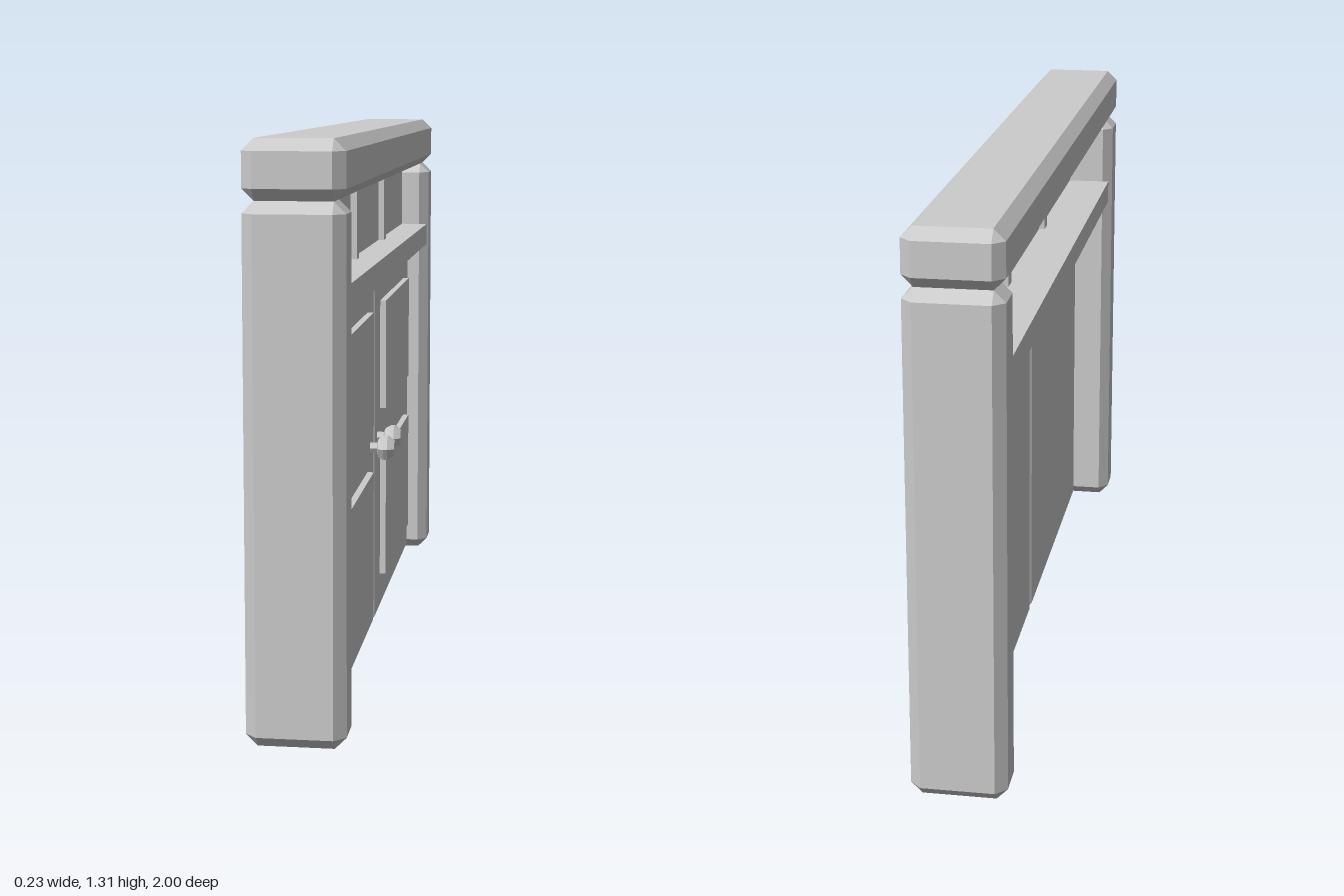
import * as THREE from 'three';
import { ConvexGeometry } from 'three/addons/geometries/ConvexGeometry.js';

export function createModel() {
  const root = new THREE.Group();
  root.name = 'cabinet';
  const grey = new THREE.MeshStandardMaterial({ color: 0xcccccc });
  grey.name = 'plain grey';

  function add(name, geometry, parent = root) {
    const mesh = new THREE.Mesh(geometry, grey);
    mesh.name = name;
    parent.add(mesh);
    return mesh;
  }

  // Plain box given by its limits on each axis
  function block(name, [x0, x1], [y0, y1], [z0, z1], parent) {
    const mesh = add(name, new THREE.BoxGeometry(x1 - x0, y1 - y0, z1 - z0), parent);
    mesh.position.set((x0 + x1) / 2, (y0 + y1) / 2, (z0 + z1) / 2);
    return mesh;
  }

  // Box with every edge cut at 45 degrees: three points at each corner
  function chamfered(name, [x0, x1], [y0, y1], [z0, z1], c, parent) {
    const half = new THREE.Vector3(x1 - x0, y1 - y0, z1 - z0).multiplyScalar(0.5);
    const points = [];
    for (const sx of [-1, 1]) for (const sy of [-1, 1]) for (const sz of [-1, 1]) {
      const { x, y, z } = half;
      points.push(
        new THREE.Vector3(sx * x, sy * (y - c), sz * (z - c)),
        new THREE.Vector3(sx * (x - c), sy * y, sz * (z - c)),
        new THREE.Vector3(sx * (x - c), sy * (y - c), sz * z));
    }
    const mesh = add(name, new ConvexGeometry(points), parent);
    mesh.position.set((x0 + x1) / 2, (y0 + y1) / 2, (z0 + z1) / 2);
    return mesh;
  }

  // Limits mirrored to either side of z = 0
  const side = (s, a, b) => (s > 0 ? [a, b] : [-b, -a]);
  const depth = [-0.113, 0.108];

  // Frame
  chamfered('topBeam', depth, [1.18, 1.31], [-1, 1], 0.026);
  block('shelfRail', [-0.105, 0.105], [0.94, 1.0], [-0.868, 0.868]);
  block('upperPanel', [0.01, 0.03], [1.0, 1.182], [-0.875, 0.875]);

  // Six-sided knob profile, from stem to tip
  const knobProfile = [
    [0.014, 0], [0.014, 0.018], [0.026, 0.022], [0.034, 0.036],
    [0.034, 0.046], [0.02, 0.063], [0, 0.063],
  ].map(([r, h]) => new THREE.Vector2(r, h));
  const knobGeometry = new THREE.LatheGeometry(knobProfile, 6).toNonIndexed();
  knobGeometry.computeVertexNormals();

  for (const s of [1, -1]) {
    const tag = s > 0 ? 'Left' : 'Right';
    chamfered('post' + tag, depth, [0, 1.18], side(s, 0.87, 1), 0.026);
    block('mullion' + tag, [-0.005, 0.045], [1.0, 1.182], side(s, 0.268, 0.314));

    // Door with two raised panels and a knob
    const door = new THREE.Group();
    door.name = 'door' + tag;
    root.add(door);
    chamfered('doorSlab', [-0.01, 0.05], [0.008, 0.935], side(s, 0.008, 0.862), 0.01, door);
    block('lowerRaisedPanel', [0.045, 0.066], [0.105, 0.44], side(s, 0.137, 0.733), door);
    block('upperRaisedPanel', [0.045, 0.066], [0.56, 0.85], side(s, 0.137, 0.733), door);
    const knob = add('knob', knobGeometry, door);
    knob.rotation.z = -Math.PI / 2;
    knob.position.set(0.05, 0.493, s * 0.077);
  }
  return root;
}
